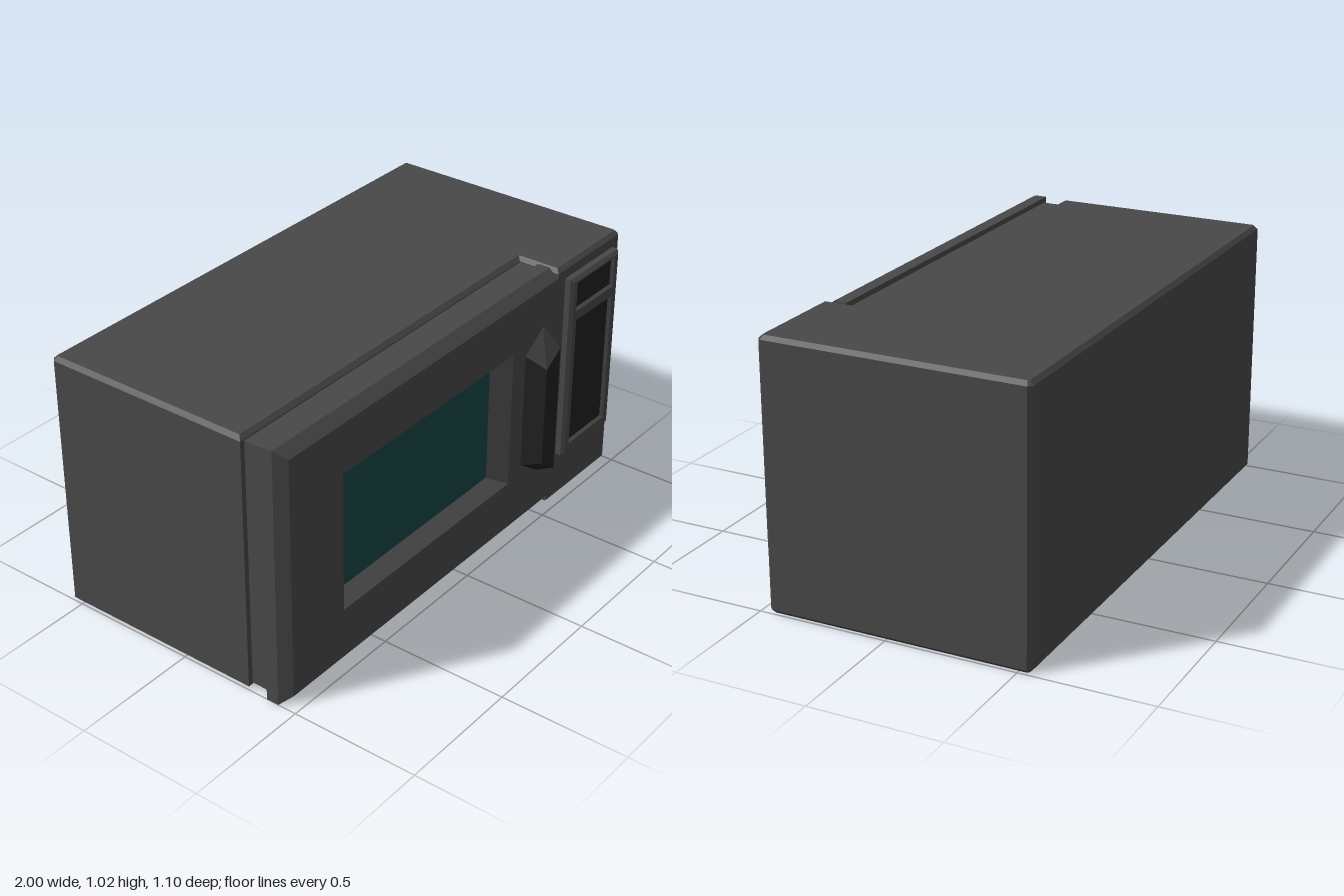
import * as THREE from 'three';

const mat = (color) => new THREE.MeshStandardMaterial({ color, flatShading: true });

// Corners of a rectangle at depth z, counter-clockwise seen from the front
const rect = (x0, x1, y0, y1, z) => [[x0, y0, z], [x1, y0, z], [x1, y1, z], [x0, y1, z]];

// Flat-faced loft through four-cornered loops, with optional end caps
function loft(rings, capStart, capEnd) {
  const pos = [];
  const quad = (a, b, c, d) => pos.push(...a, ...b, ...c, ...a, ...c, ...d);
  for (let i = 0; i < rings.length - 1; i++) {
    for (let k = 0; k < 4; k++) {
      const n = (k + 1) % 4;
      quad(rings[i][k], rings[i][n], rings[i + 1][n], rings[i + 1][k]);
    }
  }
  if (capStart) quad(...[...rings[0]].reverse());
  if (capEnd) quad(...rings[rings.length - 1]);
  const geo = new THREE.BufferGeometry();
  geo.setAttribute('position', new THREE.Float32BufferAttribute(pos, 3));
  geo.computeVertexNormals();
  return geo;
}

export function createModel() {
  const model = new THREE.Group();
  model.name = 'microwave';
  const grey = mat(0x484848);
  const black = mat(0x202020);
  const glass = mat(0x184444);

  const add = (name, geo, material, parent = model) => {
    const mesh = new THREE.Mesh(geo, material);
    mesh.name = name;
    parent.add(mesh);
    return mesh;
  };

  // Casing: L-shaped plan with chamfered corners, bevelled top and bottom
  const H = 1.02, B = 0.015, back = -0.55, front = 0.465, notchX = 0.575, notchZ = 0.295;
  const plan = [
    [-1 + B, back], [-1, back + B], [-1, notchZ], [notchX, notchZ],
    [notchX, front], [1 - B, front], [1, front - B], [1, back + B], [1 - B, back],
  ];
  const outline = new THREE.Shape(plan.map(([x, z]) => new THREE.Vector2(x, -z)));
  const casing = new THREE.ExtrudeGeometry(outline, {
    depth: H - 2 * B, bevelEnabled: true, bevelSegments: 1,
    bevelSize: B, bevelThickness: B, bevelOffset: -B,
  });
  casing.rotateX(-Math.PI / 2).translate(0, B, 0);
  add('casing', casing, grey);

  // Recessed neck behind the door
  const neck = new THREE.BoxGeometry(1.57, H - 0.04, 0.12);
  neck.translate(-0.195, H / 2, 0.335);
  add('doorNeck', neck, grey);

  // Door with chamfered rim and sloping window recess
  const door = new THREE.Group();
  door.name = 'door';
  model.add(door);
  const windowRect = rect(-0.63, 0.24, 0.27, 0.755, 0.405);
  add('doorFrame', loft([
    rect(-1, notchX, 0, H, 0.375),
    rect(-1, notchX, 0, H, 0.425),
    rect(-0.965, notchX, 0.035, H - 0.035, front),
    rect(-0.69, 0.30, 0.235, 0.79, front),
    windowRect,
  ], true, false), grey, door);
  add('windowGlass', loft([windowRect], false, true), glass, door);

  // Handle: tapered wedge, taller on its right edge
  const handleRing = (x0, x1, a0, a1, b0, b1, z) =>
    [[x0, a0, z], [x1, b0, z], [x1, b1, z], [x0, a1, z]];
  add('handle', loft([
    handleRing(0.38, 0.495, 0.275, 0.75, 0.195, 0.83, front - 0.005),
    handleRing(0.395, 0.48, 0.31, 0.715, 0.25, 0.77, 0.55),
  ], false, true), black, door);

  // Control panel: bevelled surround and a face with two openings
  const panel = new THREE.Group();
  panel.name = 'controlPanel';
  model.add(panel);
  add('panelRim', loft([
    rect(0.625, 0.948, 0.205, 0.968, front - 0.005),
    rect(0.625, 0.948, 0.205, 0.968, 0.488),
    rect(0.638, 0.935, 0.218, 0.955, 0.5),
  ], false, false), grey, panel);

  const path = (Type, r) => new Type(r.map(([x, y]) => new THREE.Vector2(x, y)));
  const face = path(THREE.Shape, rect(0.638, 0.935, 0.218, 0.955, 0));
  const screens = [
    ['displayScreen', 0.665, 0.905, 0.835, 0.94],
    ['keypad', 0.67, 0.9, 0.255, 0.78],
  ];
  for (const [name, x0, x1, y0, y1] of screens) {
    const e = 0.008;
    const open = rect(x0 - e, x1 + e, y0 - e, y1 + e, 0.5);
    const inner = rect(x0, x1, y0, y1, 0.488);
    face.holes.push(path(THREE.Path, [...open].reverse()));
    add(name + 'Bezel', loft([open, inner], false, false), grey, panel);
    add(name, loft([inner], false, true), black, panel);
  }
  add('panelFace', new THREE.ShapeGeometry(face).translate(0, 0, 0.5), grey, panel);

  return model;
}
